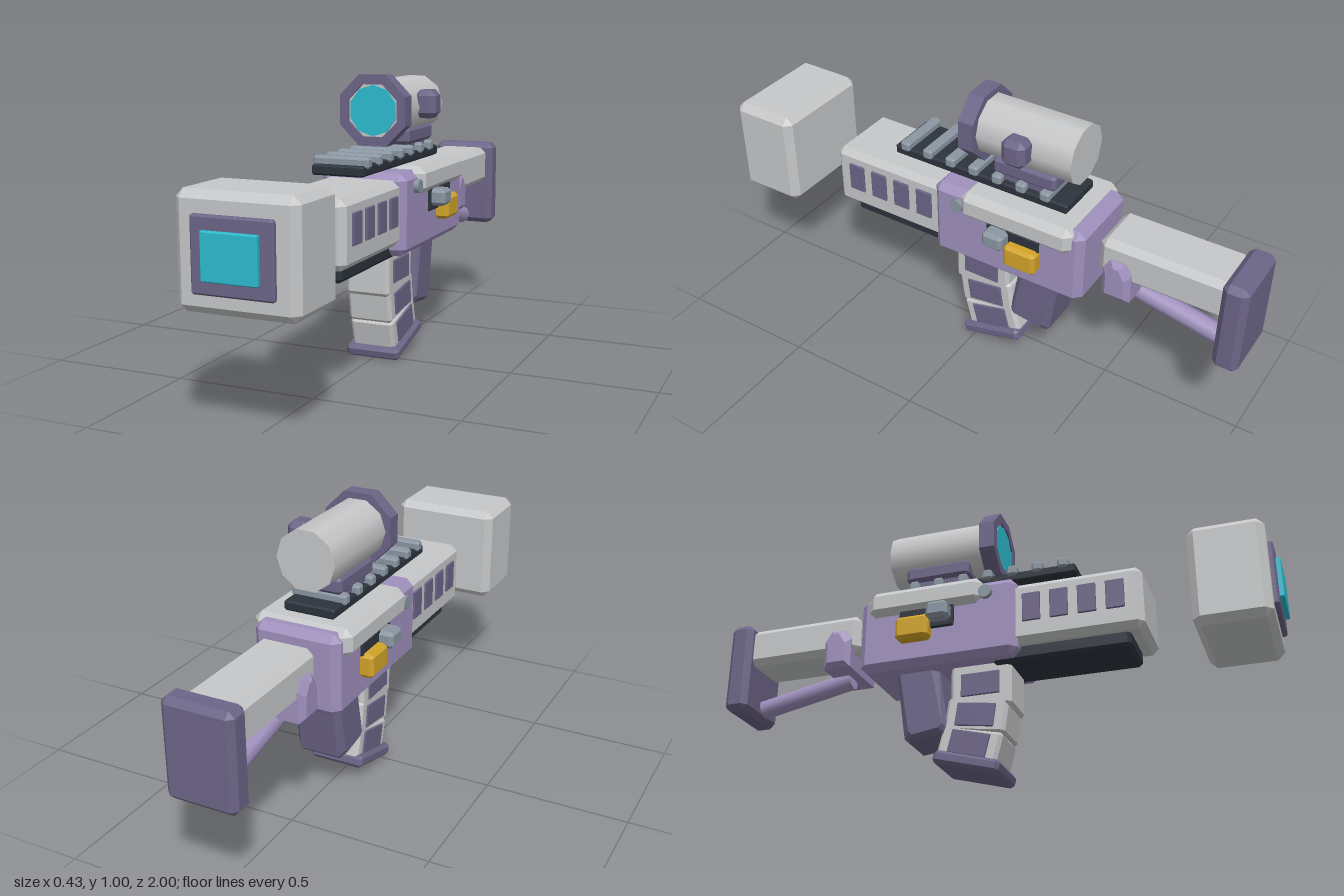
import * as THREE from 'three';
import { ConvexGeometry } from 'three/addons/geometries/ConvexGeometry.js';

const mat = (name, color) => {
  const m = new THREE.MeshStandardMaterial({ color });
  m.name = name;
  return m;
};

export function createModel() {
  const grey = mat('light grey', 0xc6c7c8);
  const lilac = mat('lilac', 0x9f90bd);
  const purple = mat('dark purple', 0x6c6587);
  const black = mat('charcoal', 0x2c333c);
  const steel = mat('steel blue', 0x8a96a2);
  const yellow = mat('yellow', 0xd3a429);
  const cyan = mat('cyan', 0x2dbccf);

  const model = new THREE.Group();
  model.name = 'blaster';

  const add = (name, geometry, material, parent = model) => {
    const mesh = new THREE.Mesh(geometry, material);
    mesh.name = name;
    parent.add(mesh);
    return mesh;
  };

  // Box with flat chamfers on every edge, given by its ranges
  const box = (name, material, [x0, x1], [y0, y1], [z0, z1], b = 0.015, parent = model) => {
    const half = [(x1 - x0) / 2, (y1 - y0) / 2, (z1 - z0) / 2];
    const points = [];
    for (const sx of [-1, 1]) for (const sy of [-1, 1]) for (const sz of [-1, 1])
      for (let axis = 0; axis < 3; axis++) {
        const p = half.map((h, i) => (i === axis ? h : h - b));
        points.push(new THREE.Vector3(p[0] * sx, p[1] * sy, p[2] * sz));
      }
    const mesh = add(name, new ConvexGeometry(points), material, parent);
    mesh.position.set((x0 + x1) / 2, (y0 + y1) / 2, (z0 + z1) / 2);
    return mesh;
  };
  const wide = (w) => [-w, w];

  // Solid with a side outline of [z, y] points, chamfered along both sides
  const slab = (name, material, outline, w, b) => {
    const cz = outline.reduce((s, p) => s + p[0], 0) / outline.length;
    const cy = outline.reduce((s, p) => s + p[1], 0) / outline.length;
    const points = [];
    for (const s of [-1, 1]) for (const [z, y] of outline) {
      points.push(new THREE.Vector3(s * (w - b), y, z));
      points.push(new THREE.Vector3(s * w, y - Math.sign(y - cy) * b, z - Math.sign(z - cz) * b));
    }
    return add(name, new ConvexGeometry(points), material);
  };

  // Floating muzzle block with its emitter
  box('muzzleBlock', grey, wide(0.198), [0.39, 0.745], [0.715, 0.967], 0.025);
  box('emitterFrame', purple, wide(0.132), [0.452, 0.68], [0.95, 0.984], 0.006);
  box('emitterLens', cyan, wide(0.09), [0.495, 0.638], [0.97, 1.0], 0.003);

  // Handguard with side vents
  box('handguard', grey, wide(0.136), [0.443, 0.668], [0.05, 0.553], 0.022);
  box('lowerGuard', black, wide(0.1), [0.394, 0.46], [0.02, 0.5], 0.012);
  for (let i = 0; i < 4; i++) for (const s of [-1, 1])
    box('vent', purple, [s * 0.137 - 0.006, s * 0.137 + 0.006], [0.517, 0.621],
      [0.43 - i * 0.0965, 0.493 - i * 0.0965], 0.002);

  // Receiver and its cover
  box('receiver', lilac, wide(0.155), [0.405, 0.69], [-0.455, 0.122], 0.025);
  box('receiverCover', grey, wide(0.178), [0.602, 0.702], [-0.42, 0.005], 0.025);
  for (const s of [-1, 1]) {
    const pin = add('hingePin', new THREE.CylinderGeometry(0.024, 0.024, 0.03, 10), steel);
    pin.rotation.z = Math.PI / 2;
    pin.position.set(s * 0.158, 0.638, 0.016);
    const side = (a, b) => (s > 0 ? [a, b] : [-b, -a]);
    box('sideRecess', black, side(0.14, 0.165), [0.532, 0.612], [-0.3, -0.1], 0.004);
    box('bolt', steel, side(0.14, 0.214), [0.55, 0.61], [-0.187, -0.108], 0.012);
    box('switch', yellow, side(0.14, 0.199), [0.49, 0.575], [-0.303, -0.183], 0.012);
  }

  // Top rail
  box('rail', black, wide(0.092), [0.702, 0.737], [-0.36, 0.318], 0.006);
  for (let i = 0; i < 7; i++) {
    const z = 0.274 - i * 0.092;
    box('railTooth', steel, wide(0.1), [0.725, 0.763], [z - 0.019, z + 0.019], 0.008);
  }

  // Scope
  const scope = new THREE.Group();
  scope.name = 'scope';
  model.add(scope);
  const disc = (name, material, r, sides, z0, z1, turn) => {
    const g = new THREE.CylinderGeometry(r, r, z1 - z0, sides);
    g.rotateY(turn).rotateX(Math.PI / 2);
    const mesh = add(name, g, material, scope);
    mesh.position.set(0, 0.891, (z0 + z1) / 2);
    return mesh;
  };
  disc('scopeTube', grey, 0.105, 10, -0.373, 0.0, Math.PI / 10);
  // Octagonal hood with an open centre
  const octagon = (r, Type) => {
    const pts = [];
    for (let i = 0; i < 8; i++) {
      const a = (i + 0.5) * Math.PI / 4;
      pts.push(new THREE.Vector2(Math.cos(a) * r, Math.sin(a) * r));
    }
    return new Type(pts);
  };
  const hoodShape = octagon(0.132, THREE.Shape);
  hoodShape.holes.push(octagon(0.097, THREE.Path));
  const hood = add('scopeHood', new THREE.ExtrudeGeometry(hoodShape,
    { depth: 0.057, bevelEnabled: false }), purple, scope);
  hood.position.set(0, 0.891, -0.022);
  disc('scopeLensSeat', grey, 0.1, 8, -0.01, 0.026, Math.PI / 8);
  disc('scopeLens', cyan, 0.088, 10, 0.024, 0.032, 0);
  box('scopeMount', purple, wide(0.09), [0.765, 0.825], [-0.312, -0.075], 0.012, scope);
  box('scopeClamp', purple, wide(0.075), [0.735, 0.79], [-0.29, -0.095], 0.008, scope);
  box('scopeKnob', purple, [0.08, 0.158], [0.853, 0.953], [-0.23, -0.142], 0.02, scope);

  // Curved magazine: three tilting segments with side panels, then a base
  const segments = [[-0.028, 0.335, 0, 0.17], [-0.045, 0.225, 8, 0.125], [-0.068, 0.125, 14.5, 0.115]];
  for (const [z, y, tilt, h] of segments) {
    const part = new THREE.Group();
    part.name = 'magazineSegment';
    part.position.set(0, y, z);
    part.rotation.x = THREE.MathUtils.degToRad(tilt);
    model.add(part);
    box('magazineBody', grey, wide(0.081), wide(h / 2), wide(0.109), 0.012, part);
    for (const s of [-1, 1])
      box('magazinePanel', purple, [s * 0.082 - 0.005, s * 0.082 + 0.005],
        wide(0.041), wide(0.069), 0.002, part);
  }
  const base = box('magazineBase', purple, wide(0.1), [0.038, 0.084], [-0.195, 0.045], 0.012);
  base.rotation.x = THREE.MathUtils.degToRad(15);

  // Rear grip
  slab('grip', purple, [[-0.185, 0.43], [-0.143, 0.185], [-0.155, 0.172],
    [-0.29, 0.157], [-0.304, 0.17], [-0.342, 0.43]], 0.09, 0.02);

  // Floating stock
  box('stockBody', grey, wide(0.099), [0.522, 0.665], [-0.93, -0.485], 0.022);
  box('buttPlate', purple, wide(0.123), [0.345, 0.682], [-1.0, -0.912], 0.02);
  slab('stockClamp', lilac, [[-0.51, 0.565], [-0.535, 0.603], [-0.588, 0.603],
    [-0.612, 0.565], [-0.612, 0.458], [-0.51, 0.458]], 0.122, 0.018);
  const from = new THREE.Vector3(0, 0.45, -0.545);
  const to = new THREE.Vector3(0, 0.378, -0.9);
  const dir = to.clone().sub(from);
  const strut = add('stockStrut', new THREE.CylinderGeometry(0.035, 0.035, dir.length(), 8), lilac);
  strut.position.copy(from).add(to).multiplyScalar(0.5);
  strut.quaternion.setFromUnitVectors(new THREE.Vector3(0, 1, 0), dir.normalize());

  return model;
}
